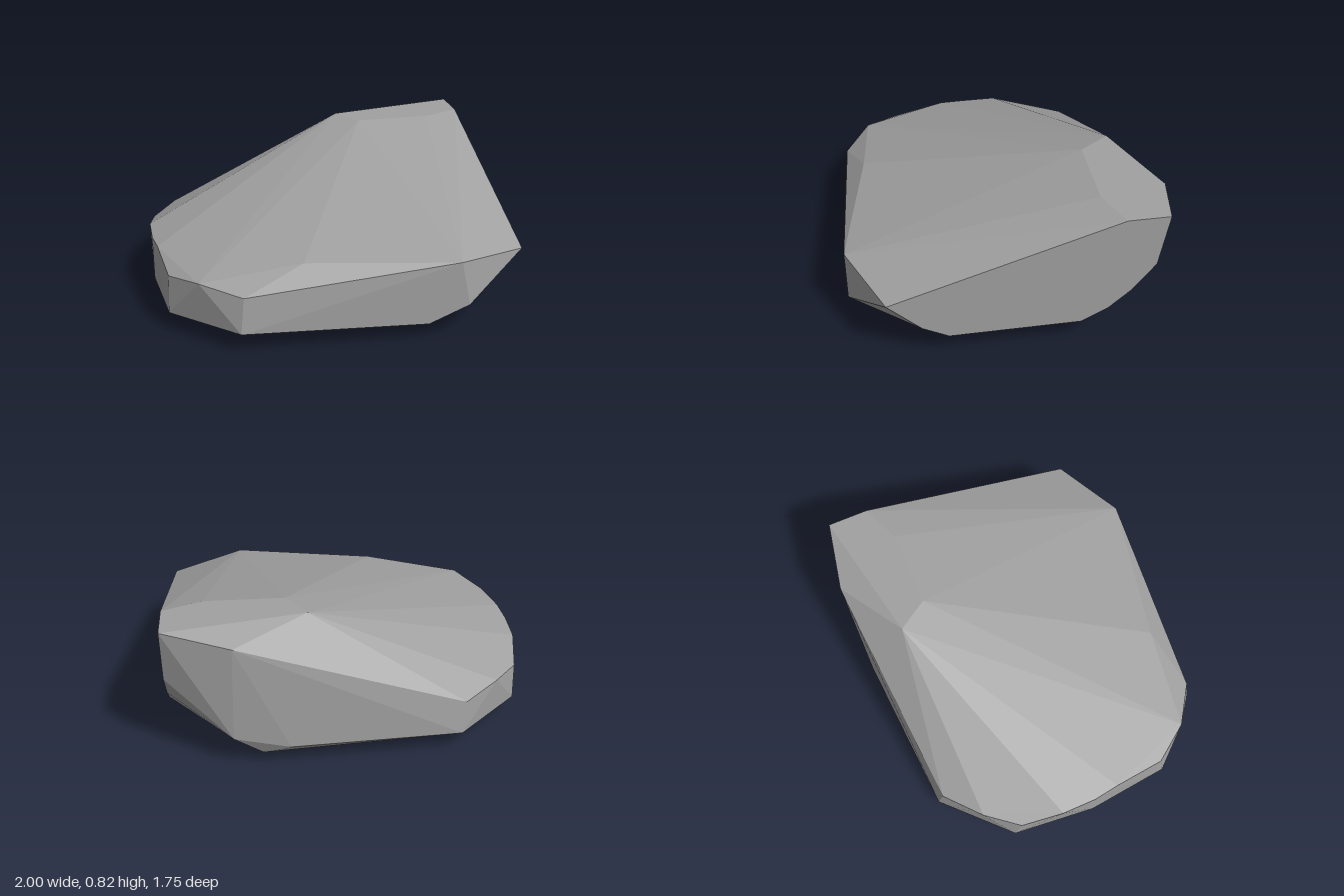
import * as THREE from 'three';
import { ConvexGeometry } from 'three/addons/geometries/ConvexGeometry.js';

const v = (x, y, z) => new THREE.Vector3(x, y, z);

export function createModel() {
  const group = new THREE.Group();
  group.name = 'rock';
  const stone = new THREE.MeshStandardMaterial({ color: 0xa0a0a0 });
  stone.name = 'stone grey';
  const points = [];

  // round flat base
  const sides = 24;
  for (let i = 0; i < sides; i++) {
    const a = (i / sides) * Math.PI * 2;
    points.push(v(-0.15 + 0.49 * Math.cos(a), 0, 0.49 * Math.sin(a)));
  }

  // lower corners shared by front and back
  for (const s of [1, -1]) {
    points.push(
      v(1, 0.155, 0.36 * s), v(1, 0.23, 0.5 * s),
      v(0.67, 0.065, 0.42 * s), v(0.62, 0.065, 0.645 * s),
      v(0.645, 0.19, 0.873 * s),
      v(-0.6, 0.118, 0.822 * s), v(-0.953, 0.11, 0.48 * s),
    );
  }
  points.push(v(0.42, 0.095, 0.87), v(0.49, 0.07, -0.84), v(0.34, 0.125, -0.88), v(-1, 0.095, 0));

  // flat summit
  points.push(
    v(0.23, 0.82, -0.65), v(0.34, 0.82, -0.48), v(0.78, 0.82, -0.48),
    v(1, 0.82, -0.57), v(1, 0.82, -0.8),
  );

  // cut end and back corner
  points.push(v(1, 0.41, 0.685), v(1, 0.34, -0.62), v(1, 0.51, -0.75), v(0.63, 0.75, -0.88));

  // upper rim, front round to back
  points.push(
    v(0.59, 0.45, 0.875), v(-0.24, 0.45, 0.71), v(-0.58, 0.32, 0.8),
    v(-0.8, 0.355, 0.65), v(-0.943, 0.32, 0.45), v(-0.98, 0.365, 0.15),
    v(-1, 0.355, 0), v(-1, 0.355, -0.2), v(-0.96, 0.3, -0.44),
    v(-0.82, 0.32, -0.62), v(-0.62, 0.3, -0.79),
  );

  const rock = new THREE.Mesh(new ConvexGeometry(points), stone);
  rock.name = 'boulder';
  group.add(rock);
  return group;
}
